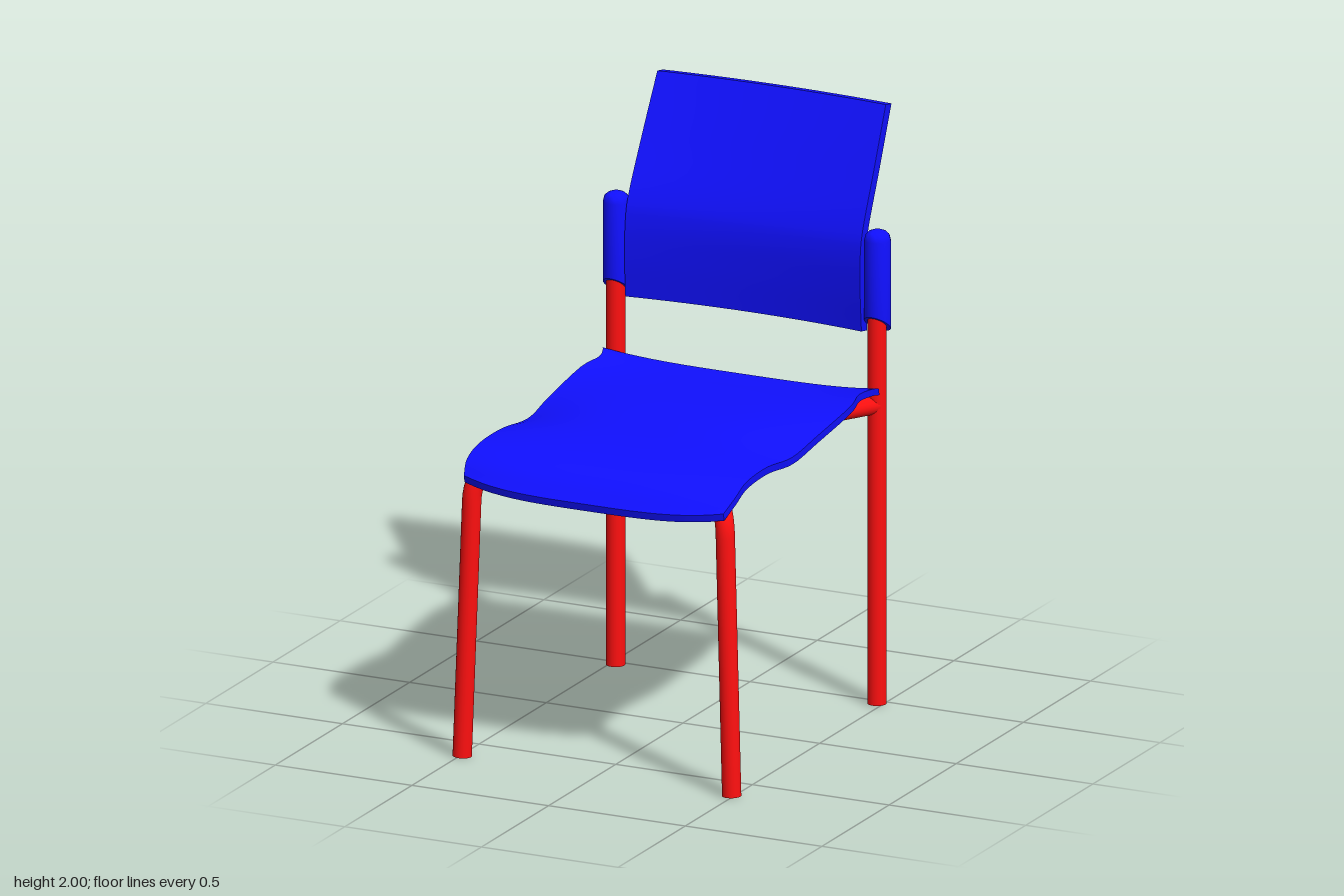
import * as THREE from 'three';
import { toCreasedNormals } from 'three/addons/utils/BufferGeometryUtils.js';

const V = (x, y, z) => new THREE.Vector3(x, y, z);
const blue = new THREE.MeshStandardMaterial({ color: 0x1010ff });
const red = new THREE.MeshStandardMaterial({ color: 0xff1010 });
const TUBE = 0.032;

function part(name, geometry, material, parent) {
  const mesh = new THREE.Mesh(geometry, material);
  mesh.name = name;
  parent.add(mesh);
  return mesh;
}

// Curved panel: a subdivided box bent so that it spans a centre-line profile and an
// edge profile (edge x is the half width). `back` is the offset to the hidden face.
function panel(box, centre, edge, back, power, axes) {
  const mid = new THREE.CatmullRomCurve3(centre, false, 'catmullrom');
  const side = new THREE.CatmullRomCurve3(edge, false, 'catmullrom');
  const pos = box.attributes.position;
  for (let i = 0; i < pos.count; i++) {
    const [u, v, hidden] = axes(pos.getX(i), pos.getY(i), pos.getZ(i));
    const t = THREE.MathUtils.clamp((v + 1) / 2, 0, 1);
    const a = mid.getPoint(t), b = side.getPoint(t);
    const p = a.clone().lerp(b, Math.abs(u) ** power);
    p.x = b.x * u;
    if (hidden) p.add(back);
    pos.setXYZ(i, p.x, p.y, p.z);
  }
  box.computeVertexNormals();
  return box;
}

export function createModel() {
  const chair = new THREE.Group();
  chair.name = 'chair';

  // Saddle-shaped seat with a waterfall front, listed from back to front
  const seatCentre = [
    V(0, 1.07, -0.46), V(0, 1.073, -0.41), V(0, 1.075, -0.34), V(0, 1.078, -0.24), V(0, 1.08, -0.02),
    V(0, 1.075, 0.18), V(0, 1.068, 0.38), V(0, 1.05, 0.54), V(0, 1.015, 0.64), V(0, 0.955, 0.715),
  ];
  const seatEdge = [
    V(0.505, 1.1, -0.43), V(0.49, 1.102, -0.4), V(0.475, 1.098, -0.34), V(0.493, 1.088, -0.24), V(0.49, 1.055, 0),
    V(0.483, 1.03, 0.17), V(0.484, 1.05, 0.36), V(0.488, 1.045, 0.52), V(0.49, 1.015, 0.61), V(0.475, 0.975, 0.665),
  ];
  part('seat', panel(new THREE.BoxGeometry(2, 2, 2, 24, 1, 45), seatCentre, seatEdge,
    V(0, -0.025, -0.006), 3.5, (x, y, z) => [x, z, y < 0]), blue, chair);

  // Backrest, upright below and reclined above, listed from bottom to top
  const restCentre = [V(0, 1.28, -0.478), V(0, 1.42, -0.472), V(0, 1.54, -0.474),
    V(0, 1.63, -0.498), V(0, 1.8, -0.58), V(0, 2, -0.68)];
  const restEdge = [V(0.432, 1.28, -0.45), V(0.431, 1.42, -0.442), V(0.43, 1.54, -0.445),
    V(0.429, 1.63, -0.468), V(0.425, 1.8, -0.555), V(0.418, 2, -0.66)];
  part('backrest', panel(new THREE.BoxGeometry(2, 2, 2, 20, 30, 1), restCentre, restEdge,
    V(0, -0.008, -0.042), 2, (x, y, z) => [x, y, z < 0]), blue, chair);

  // Rounded sleeve with a slanted lower end
  const r = 0.044;
  const sleeve = new THREE.LatheGeometry([
    [0, 0], [r, 0], [r, 0.29], [r * 0.9, 0.308], [r * 0.68, 0.318], [r * 0.35, 0.324], [0, 0.325],
  ].map(([x, y]) => new THREE.Vector2(x, y)), 24);
  const sp = sleeve.attributes.position;
  for (let i = 0; i < sp.count; i++) if (sp.getY(i) < 0.01) sp.setY(i, sp.getZ(i) * 0.78);
  const sleeveGeometry = toCreasedNormals(sleeve, 0.8);

  for (const s of [1, -1]) {
    const label = s > 0 ? 'left' : 'right';

    part(label + 'BackLeg', new THREE.CylinderGeometry(TUBE, TUBE, 1.56, 20), red, chair)
      .position.set(s * 0.478, 0.78, -0.472);
    part(label + 'BackrestSleeve', sleeveGeometry, blue, chair).position.set(s * 0.478, 1.305, -0.476);

    // Front leg bends under the seat and runs diagonally to the opposite back leg
    const foot = V(s * 0.493, 0, 0.64), knee = V(s * 0.464, 0.88, 0.628);
    const bendEnd = V(s * 0.375, 1.0, 0.535), cross = V(0, 0.993, 0.13);
    const path = new THREE.CurvePath();
    path.add(new THREE.LineCurve3(foot, knee));
    path.add(new THREE.QuadraticBezierCurve3(knee, V(s * 0.46, 1.003, 0.625), bendEnd));
    path.add(new THREE.LineCurve3(bendEnd, cross));
    path.add(new THREE.LineCurve3(cross, V(s * -0.478, 1.03, -0.472)));
    part(label + 'FrontLegAndRail', new THREE.TubeGeometry(path, 120, TUBE, 20), red, chair);

    const cap = part(label + 'FrontFootCap', new THREE.CircleGeometry(TUBE, 20), red, chair);
    cap.rotation.x = Math.PI / 2;
    cap.position.copy(foot);
  }
  return chair;
}
